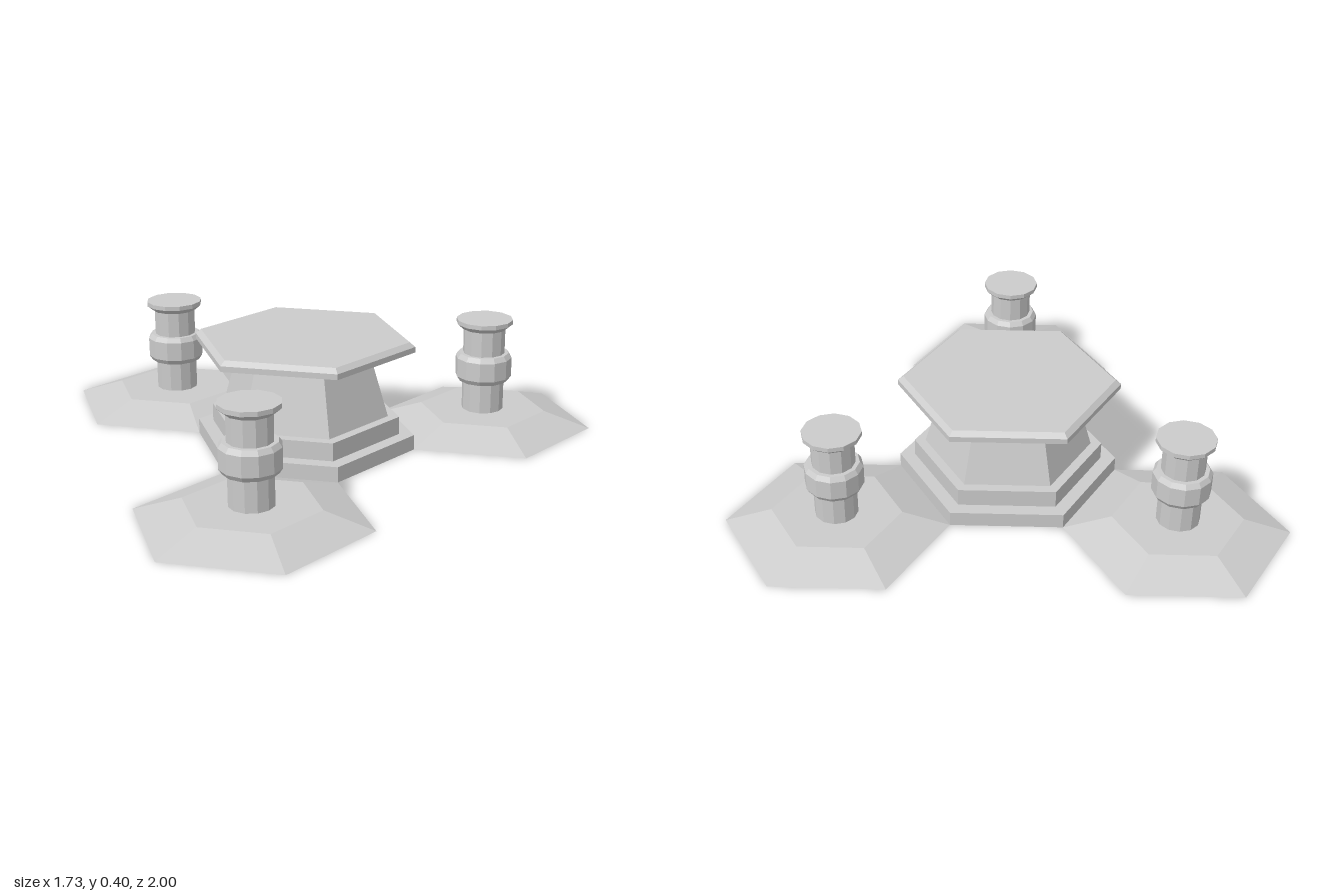
import * as THREE from 'three';

const material = new THREE.MeshStandardMaterial({ color: 0xcccccc, flatShading: true });

// Faceted solid of revolution from [radius, height] pairs, bottom to top
function turned(name, profile, sides) {
  const points = profile.map(([r, y]) => new THREE.Vector2(r, y));
  const mesh = new THREE.Mesh(new THREE.LatheGeometry(points, sides), material);
  mesh.name = name;
  return mesh;
}

// Central hexagonal table: stepped base, tapered pedestal, bevelled top
function createTable() {
  const table = new THREE.Group();
  table.name = 'table';
  table.add(
    turned('tableBase', [[0, 0], [0.4, 0], [0.4, 0.055], [0.345, 0.055], [0.345, 0.12], [0, 0.12]], 6),
    turned('tablePedestal', [[0, 0.12], [0.305, 0.12], [0.235, 0.36], [0, 0.36]], 6),
    turned('tableTop', [[0, 0.36], [0.33, 0.36], [0.4, 0.364], [0.4, 0.384], [0.38, 0.4], [0, 0.4]], 6)
  );
  return table;
}

// Stool: sloped hexagonal pad carrying a post with a thick collar and flared seat
function createStool() {
  const stool = new THREE.Group();
  stool.name = 'stool';
  stool.add(
    turned('stoolPad', [[0, 0], [0.4, 0], [0.232, 0.055], [0, 0.055]], 6),
    turned('stoolPost', [[0, 0.055], [0.077, 0.055], [0.077, 0.37], [0, 0.37]], 12),
    turned('stoolCollar', [[0.077, 0.167], [0.092, 0.167], [0.104, 0.185], [0.104, 0.255], [0.092, 0.272], [0.077, 0.272]], 12),
    turned('stoolSeat', [[0, 0.366], [0.083, 0.366], [0.104, 0.384], [0.104, 0.4], [0, 0.4]], 12)
  );
  return stool;
}

export function createModel() {
  const model = new THREE.Group();
  model.name = 'tableWithStools';
  const centreX = -0.173;
  const table = createTable();
  table.position.x = centreX;
  model.add(table);

  // Three stools evenly spaced, pads meeting the table base edge to edge
  for (let i = 0; i < 3; i++) {
    const angle = (i * Math.PI * 2) / 3;
    const stool = createStool();
    stool.position.set(centreX + 0.693 * Math.cos(angle), 0, 0.693 * Math.sin(angle));
    model.add(stool);
  }
  return model;
}
